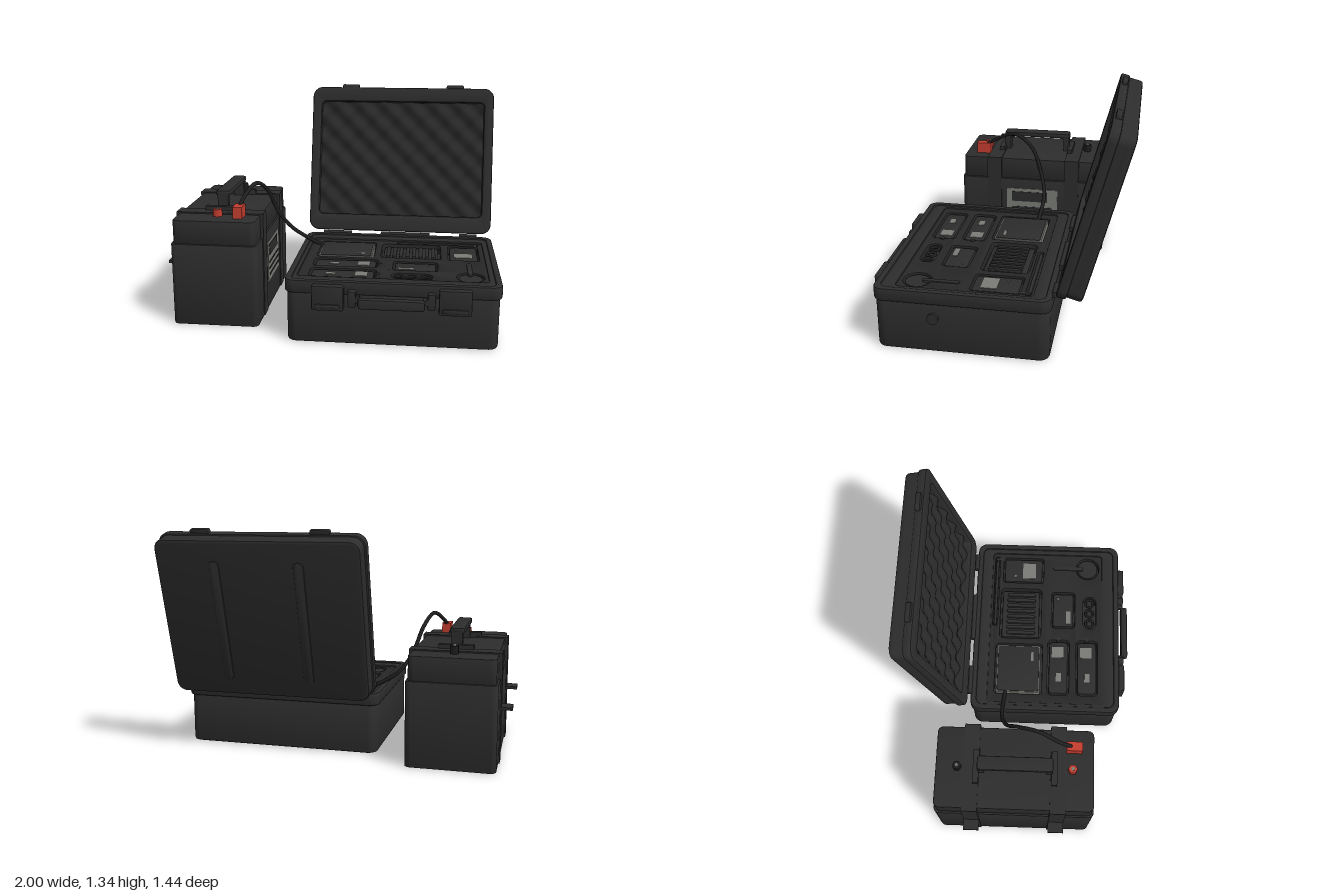
import * as THREE from 'three';
import { toCreasedNormals } from 'three/addons/utils/BufferGeometryUtils.js';

const material = (name, color, side = THREE.FrontSide) => {
  const m = new THREE.MeshStandardMaterial({ color, side });
  m.name = name;
  return m;
};

// Rounded rectangle outline, as a Shape or a hole Path
function outline(x0, x1, y0, y1, r, Type = THREE.Shape) {
  const s = new Type();
  r = Math.min(r, (x1 - x0) / 2 - 1e-4, (y1 - y0) / 2 - 1e-4);
  s.absarc(x1 - r, y1 - r, r, 0, Math.PI / 2);
  s.absarc(x0 + r, y1 - r, r, Math.PI / 2, Math.PI);
  s.absarc(x0 + r, y0 + r, r, Math.PI, Math.PI * 1.5);
  s.absarc(x1 - r, y0 + r, r, Math.PI * 1.5, Math.PI * 2);
  s.closePath();
  return s;
}

// Upright plate in x/y, spanning z0..z1; holes are [x0, x1, y0, y1, r]
function plate(x0, x1, y0, y1, z0, z1, r = 0.02, b = 0.008, holes = []) {
  const s = outline(x0, x1, y0, y1, r);
  for (const h of holes) s.holes.push(outline(...h, THREE.Path));
  const g = new THREE.ExtrudeGeometry(s, {
    depth: z1 - z0 - 2 * b, bevelEnabled: b > 0, bevelSize: b, bevelThickness: b,
    bevelOffset: -b, bevelSegments: 2, curveSegments: 6,
  });
  g.translate(0, 0, z0 + b);
  return toCreasedNormals(g, 0.6);
}

// Lying slab in x/z, spanning y0..y1; holes are [x0, x1, z0, z1, r]
function slab(x0, x1, z0, z1, y0, y1, r = 0.02, b = 0.006, holes = []) {
  const flipped = holes.map(([a, c, d, e, q]) => [a, c, -e, -d, q]);
  return plate(x0, x1, -z1, -z0, y0, y1, r, b, flipped).rotateX(-Math.PI / 2);
}

const box = (x0, x1, y0, y1, z0, z1) => new THREE.BoxGeometry(x1 - x0, y1 - y0, z1 - z0)
  .translate((x0 + x1) / 2, (y0 + y1) / 2, (z0 + z1) / 2);
const disc = (x, z, r, y0, y1, n = 24) =>
  new THREE.CylinderGeometry(r, r, y1 - y0, n).translate(x, (y0 + y1) / 2, z);

export function createModel() {
  const shell = material('charcoal shell', 0x2d2d2d);
  const foam = material('dark foam', 0x282828, THREE.DoubleSide);
  const black = material('black plastic', 0x1e1e1e);
  const grey = material('grey label', 0x7a7c76);
  const red = material('red terminal', 0xc63e30);

  const root = new THREE.Group();
  const group = (name) => {
    const g = new THREE.Group();
    g.name = name;
    root.add(g);
    return g;
  };
  const add = (parent, name, geo, mat) => {
    const m = new THREE.Mesh(geo, mat);
    m.name = name;
    parent.add(m);
    return m;
  };

  // ---- Case base ----
  const base = group('caseBase');
  add(base, 'caseBody', slab(-0.21, 0.98, -0.315, 0.645, 0, 0.3, 0.06, 0.015), shell);
  add(base, 'caseRim', slab(-0.222, 0.992, -0.325, 0.652, 0.295, 0.372, 0.06, 0.01,
    [[-0.185, 0.955, -0.288, 0.615, 0.04]]), shell);
  add(base, 'caseDeck', slab(-0.19, 0.96, -0.29, 0.62, 0.29, 0.362, 0.04, 0.003,
    [[-0.165, 0.925, -0.22, 0.54, 0.025]]), shell);
  add(base, 'pressureValve', new THREE.CylinderGeometry(0.032, 0.032, 0.02, 24)
    .rotateZ(Math.PI / 2).translate(0.985, 0.21, 0.315), shell);
  for (const x of [0.03, 0.735]) {
    add(base, 'latch', plate(x - 0.09, x + 0.09, 0.21, 0.355, 0.64, 0.69, 0.012), shell);
    add(base, 'latchLip', plate(x - 0.07, x + 0.07, 0.225, 0.25, 0.68, 0.697, 0.01, 0.004), shell);
  }
  for (const x of [0.165, 0.605])
    add(base, 'handleMount', plate(x - 0.022, x + 0.022, 0.235, 0.33, 0.64, 0.69, 0.01), shell);
  add(base, 'caseHandle', plate(0.2, 0.57, 0.237, 0.297, 0.675, 0.72, 0.02, 0.012), shell);
  for (const x of [0.19, 0.58])
    add(base, 'handleArm', box(x - 0.02, x + 0.02, 0.265, 0.295, 0.655, 0.69), shell);
  for (const [a, b] of [[-0.12, 0.07], [0.265, 0.59], [0.785, 0.9]])
    add(base, 'hingeBarrel', new THREE.CylinderGeometry(0.016, 0.016, b - a, 12)
      .rotateZ(Math.PI / 2).translate((a + b) / 2, 0.368, -0.332), shell);

  // ---- Foam insert with cut-outs ----
  const insert = group('equipmentTray');
  const pockets = [
    [-0.105, 0.25, -0.175, 0.14, 0.02], [0.29, 0.66, -0.155, 0.125, 0.03],
    [0.38, 0.9, -0.205, -0.172, 0.01], [0.705, 0.895, -0.145, 0.135, 0.02],
    [-0.105, 0.285, 0.175, 0.32, 0.03], [-0.105, 0.285, 0.365, 0.51, 0.03],
    [0.375, 0.64, 0.195, 0.355, 0.02], [0.37, 0.61, 0.41, 0.5, 0.045],
    [0.745, 0.905, 0.36, 0.52, 0.08],
  ];
  add(insert, 'trayFoam', slab(-0.17, 0.93, -0.225, 0.545, 0.298, 0.352, 0.02, 0.002, pockets), foam);

  // Control unit with light border
  add(insert, 'controlUnitBorder', slab(-0.095, 0.238, -0.165, 0.128, 0.298, 0.352, 0.015), grey);
  add(insert, 'controlUnit', slab(-0.087, 0.23, -0.157, 0.12, 0.3, 0.356, 0.015, 0.004), shell);
  add(insert, 'controlUnitLabel', box(0.125, 0.19, 0.354, 0.358, 0.065, 0.08), grey);
  // Ribbed charger
  add(insert, 'charger', slab(0.305, 0.645, -0.142, 0.112, 0.298, 0.335, 0.02), shell);
  for (let i = 0; i < 8; i++) {
    const x = 0.335 + i * 0.04;
    add(insert, 'chargerRib', slab(x - 0.012, x + 0.012, -0.11, 0.085, 0.33, 0.35, 0.012, 0.003), shell);
  }
  // Antenna rod
  add(insert, 'antennaRod', new THREE.CylinderGeometry(0.01, 0.01, 0.48, 12)
    .rotateZ(Math.PI / 2).translate(0.63, 0.335, -0.189), shell);
  add(insert, 'antennaTip', box(0.87, 0.892, 0.32, 0.355, -0.2, -0.135), shell);
  // Meter
  add(insert, 'meter', slab(0.715, 0.885, -0.135, 0.125, 0.298, 0.348, 0.015), shell);
  add(insert, 'meterScreen', box(0.74, 0.855, 0.346, 0.351, -0.01, 0.08), grey);
  add(insert, 'meterButton', disc(0.755, -0.06, 0.008, 0.345, 0.352, 12), grey);
  // Two transmitters
  for (const z of [0.248, 0.438]) {
    add(insert, 'transmitter', slab(-0.092, 0.272, z - 0.062, z + 0.062, 0.298, 0.346, 0.025), shell);
    add(insert, 'transmitterLabel', box(-0.01, 0.05, 0.344, 0.349, z - 0.015, z + 0.02), grey);
    add(insert, 'transmitterScreen', box(0.16, 0.235, 0.344, 0.349, z - 0.045, z + 0.033), grey);
    add(insert, 'transmitterKnob', disc(0.29, z, 0.015, 0.33, 0.356, 12), shell);
  }
  // Receiver
  add(insert, 'receiver', slab(0.387, 0.628, 0.205, 0.345, 0.298, 0.346, 0.015), shell);
  add(insert, 'receiverLabel', box(0.405, 0.5, 0.344, 0.349, 0.295, 0.325), grey);
  add(insert, 'receiverLight', disc(0.588, 0.24, 0.007, 0.344, 0.35, 10), grey);
  // Three rings
  for (const x of [0.417, 0.492, 0.567])
    add(insert, 'ring', new THREE.TorusGeometry(0.026, 0.009, 8, 20)
      .rotateX(Math.PI / 2).translate(x, 0.34, 0.455), black);
  // Round probe with stem
  add(insert, 'probeHead', disc(0.825, 0.44, 0.068, 0.298, 0.345, 28), shell);
  add(insert, 'probeStem', slab(0.81, 0.84, 0.2, 0.41, 0.33, 0.358, 0.014, 0.004), shell);

  // ---- Lid, leaning back about the hinge ----
  const lid = group('caseLid');
  lid.position.set(0, 0.385, -0.34);
  lid.rotation.x = -THREE.MathUtils.degToRad(15);
  const opening = [-0.16, 0.93, 0.11, 0.875, 0.03];
  add(lid, 'lidShell', plate(-0.21, 0.98, 0.01, 0.96, -0.14, -0.075, 0.06, 0.015), shell);
  add(lid, 'lidWall', plate(-0.21, 0.98, 0.01, 0.96, -0.095, -0.03, 0.06, 0, [opening]), shell);
  add(lid, 'lidRim', plate(-0.222, 0.992, 0, 0.97, -0.055, 0, 0.065, 0.01, [opening]), shell);
  for (const x of [0.14, 0.63])
    add(lid, 'lidRib', plate(x - 0.03, x + 0.03, 0.11, 0.84, -0.148, -0.13, 0.03, 0.005), shell);
  for (const x of [0.035, 0.735])
    add(lid, 'latchCatch', plate(x - 0.057, x + 0.057, 0.955, 0.992, -0.045, -0.012, 0.01, 0.005), shell);

  // Egg-crate foam lining
  const w = 1.09, h = 0.765;
  const lining = new THREE.PlaneGeometry(w, h, 96, 66);
  const p = lining.attributes.position;
  for (let i = 0; i < p.count; i++) {
    const x = p.getX(i), y = p.getY(i);
    p.setZ(i, 0.018 * Math.sin(x * 38) * Math.sin(y * 38));
  }
  lining.computeVertexNormals();
  add(lid, 'lidFoam', lining.translate(0.385, 0.4925, -0.045), foam);

  // ---- Battery pack ----
  const battery = group('batteryPack');
  add(battery, 'batteryBody', slab(-0.928, -0.41, -0.5, 0.475, 0, 0.5, 0.035, 0.006), shell);
  add(battery, 'batteryCover', slab(-0.916, -0.422, -0.49, 0.465, 0.49, 0.642, 0.035, 0.006), shell);
  for (const z of [0.25, -0.277]) {
    add(battery, 'strap', box(-0.936, -0.404, 0.006, 0.65, z - 0.048, z + 0.048), shell);
    add(battery, 'strapTab', box(-1, -0.93, 0.322, 0.338, z - 0.048, z + 0.048), shell);
  }
  // Carrying handle
  for (const [s, z] of [[1, 0.195], [-1, -0.215]]) {
    add(battery, 'handlePost', box(-0.7, -0.635, 0.64, 0.745, z - 0.02, z + 0.02), shell);
    const f = z + s * 0.03;
    add(battery, 'handleFoot', box(-0.77, -0.565, 0.64, 0.675, f - 0.018, f + 0.018), shell);
  }
  add(battery, 'handleGrip', slab(-0.71, -0.625, -0.235, 0.215, 0.735, 0.767, 0.015, 0.008), shell);
  // Terminals
  add(battery, 'positiveTerminal', disc(-0.67, 0.335, 0.028, 0.64, 0.685, 6), red);
  add(battery, 'negativeTerminal', disc(-0.67, -0.36, 0.027, 0.64, 0.688, 6), black);
  for (const [z, y] of [[0.335, 0.692], [-0.36, 0.7]])
    add(battery, 'terminalStud', disc(-0.67, z, 0.011, 0.66, y, 12), grey);
  add(battery, 'plug', box(-0.566, -0.51, 0.64, 0.712, 0.295, 0.39), red);
  // Side label
  add(battery, 'sideLabel', box(-0.412, -0.405, 0.17, 0.432, -0.185, 0.165), grey);
  add(battery, 'sideLabelPanel', box(-0.408, -0.402, 0.34, 0.41, -0.115, 0.13), shell);
  for (const y of [0.21, 0.25, 0.29])
    add(battery, 'sideLabelLine', box(-0.408, -0.402, y, y + 0.01, -0.15, 0.13), shell);

  // ---- Power cable ----
  const path = [
    [-0.54, 0.69, 0.345], [-0.525, 0.745, 0.25], [-0.48, 0.8, 0.125], [-0.435, 0.73, 0],
    [-0.38, 0.57, -0.075], [-0.3, 0.46, -0.108], [-0.2, 0.395, -0.11], [-0.09, 0.345, -0.1],
  ].map((v) => new THREE.Vector3(...v));
  add(root, 'powerCable', new THREE.TubeGeometry(new THREE.CatmullRomCurve3(path), 60, 0.012, 10), black);

  return root;
}
